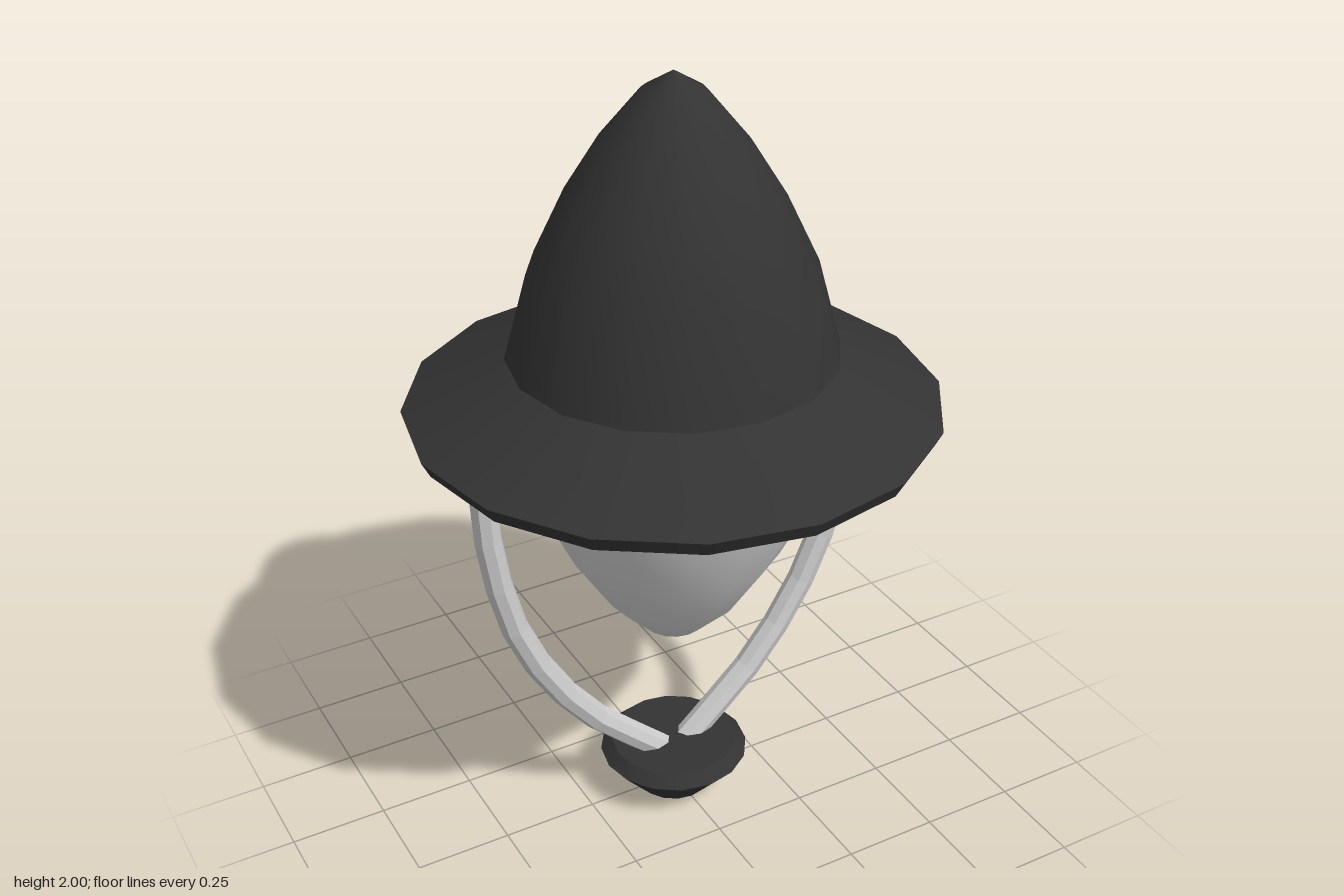
import * as THREE from 'three';

const SIDES = 16;

function material(name, color) {
  const m = new THREE.MeshStandardMaterial({ color });
  m.name = name;
  return m;
}

// Each profile is a smooth band of [radius, y]; separate bands keep their shared edges sharp.
function turned(name, mat, ...profiles) {
  const group = new THREE.Group();
  group.name = name;
  profiles.forEach((profile, i) => {
    const points = profile.map(([r, y]) => new THREE.Vector2(r, y));
    const mesh = new THREE.Mesh(new THREE.LatheGeometry(points, SIDES), mat);
    mesh.name = `${name}Band${i + 1}`;
    group.add(mesh);
  });
  return group;
}

// Curved rod from the foot up to the underside of the brim
function supportRod(name, side, mat) {
  const path = new THREE.CurvePath();
  const pts = [[0.02, 0.1], [0.058, 0.137], [0.23, 0.293], [0.363, 0.473],
    [0.45, 0.66], [0.492, 0.84], [0.51, 1.0], [0.51, 1.215]]
    .map(([x, y]) => new THREE.Vector3(side * x, y, 0));
  const curve = new THREE.CatmullRomCurve3(pts);
  const geometry = new THREE.TubeGeometry(curve, 9, 0.035, 8, false).toNonIndexed();
  geometry.computeVertexNormals();
  const mesh = new THREE.Mesh(geometry, mat);
  mesh.name = name;
  return mesh;
}

export function createModel() {
  const dark = material('dark metal', 0x333333);
  const glass = material('frosted glass', 0xd0d0d0);
  const steel = material('grey metal', 0xcccccc);
  const lamp = new THREE.Group();
  lamp.name = 'lantern';

  // Pointed cap
  lamp.add(turned('cap', dark,
    [[0.403, 1.31], [0.344, 1.526], [0.263, 1.695], [0.175, 1.835], [0.075, 1.955], [0, 2]]));

  // Sloping brim: hollow underside, bevelled rim, top
  lamp.add(turned('brim', dark,
    [[0.38, 1.275], [0.635, 1.145]],
    [[0.635, 1.145], [0.655, 1.185]],
    [[0.655, 1.185], [0.4, 1.312]]));

  // Tapered glass shade
  lamp.add(turned('shade', glass,
    [[0, 0.485], [0.08, 0.525], [0.177, 0.625], [0.275, 0.78], [0.355, 0.945], [0.415, 1.145], [0.445, 1.26]]));

  // Pair of rods
  lamp.add(supportRod('leftRod', 1, steel), supportRod('rightRod', -1, steel));

  // Foot with flat ends
  lamp.add(turned('foot', dark,
    [[0, 0], [0.1, 0]],
    [[0.1, 0], [0.197, 0.112]],
    [[0.197, 0.112], [0.167, 0.142]],
    [[0.167, 0.142], [0, 0.142]]));

  return lamp;
}
